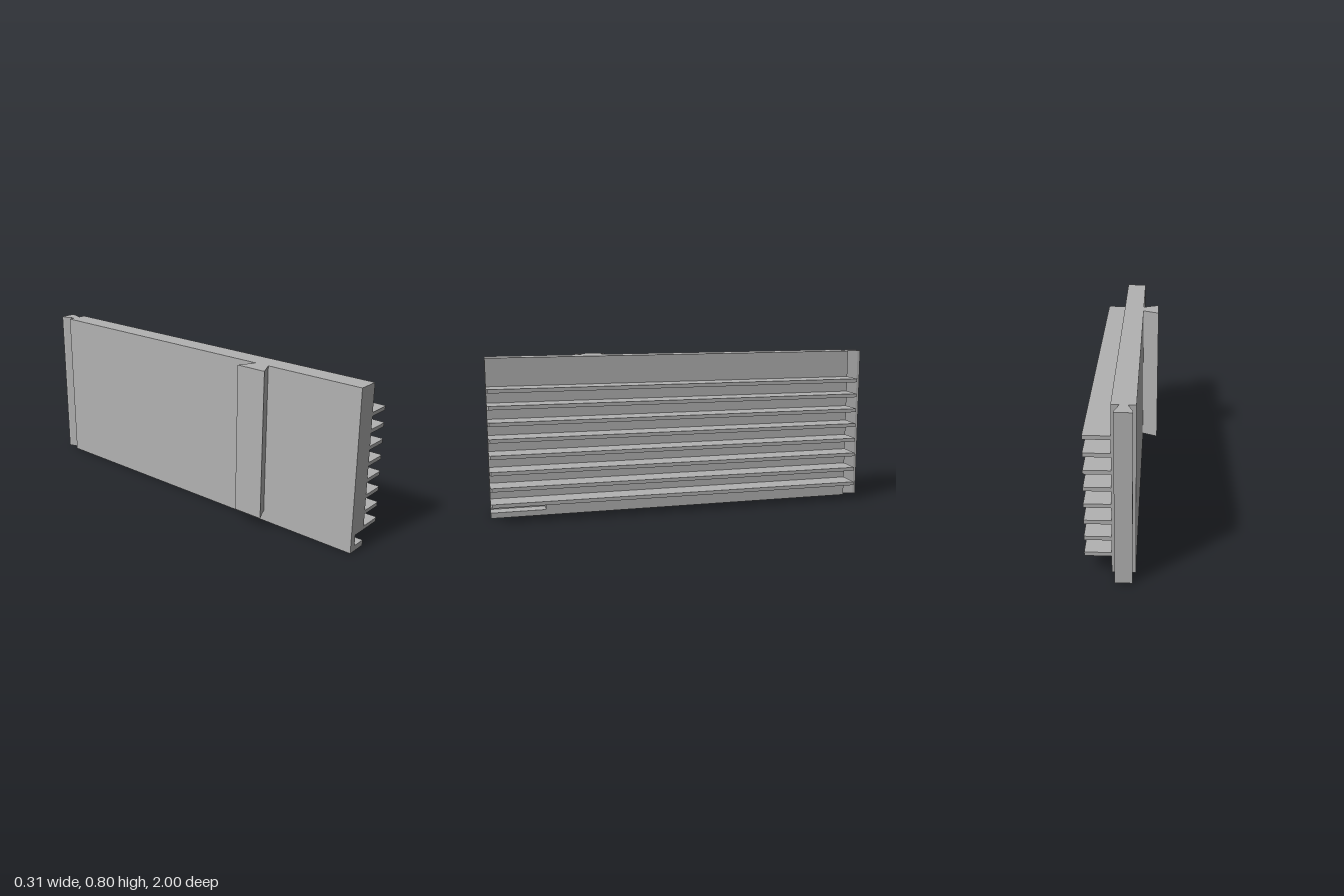
import * as THREE from 'three';

export function createModel() {
  const model = new THREE.Group();
  model.name = 'finnedPanel';
  const grey = new THREE.MeshStandardMaterial({ color: 0xb2b2b2 });
  grey.name = 'plain grey';

  const add = (name, geometry) => {
    const mesh = new THREE.Mesh(geometry, grey);
    mesh.name = name;
    model.add(mesh);
  };
  const outline = (points) => new THREE.Shape(points.map(([a, b]) => new THREE.Vector2(a, b)));

  // Prism from a plan outline of [x, z] points, between two heights
  const upright = (name, plan, y0, y1) => {
    const geometry = new THREE.ExtrudeGeometry(outline(plan.map(([x, z]) => [x, -z])),
      { depth: y1 - y0, bevelEnabled: false });
    add(name, geometry.rotateX(-Math.PI / 2).translate(0, y0, 0));
  };
  // Prism from a cross-section of [x, y] points, along z
  const lengthwise = (name, section, z0, z1) => {
    const geometry = new THREE.ExtrudeGeometry(outline(section), { depth: z1 - z0, bevelEnabled: false });
    add(name, geometry.translate(0, 0, z0));
  };

  const back = -0.072, face = 0.034, height = 0.803;
  const rear = -0.92, notchEnd = 0.725, front = 1;

  // Panel, with a notch low in its front end
  lengthwise('panel', [[back, 0], [face, 0], [face, height], [back, height]], rear, notchEnd);
  lengthwise('notchedPanelEnd', [
    [back, 0], [face, 0], [face, 0.028], [-0.038, 0.028],
    [-0.038, 0.083], [face, 0.083], [face, height], [back, height],
  ], notchEnd, front);

  // Evenly spaced fins, with the outer front corner eased
  for (let i = 0; i < 8; i++) {
    const y = 0.083 + i * 0.0803;
    upright('fin', [
      [face, rear], [0.154, rear], [0.154, 0.992], [0.146, front], [face, front],
    ], y, y + 0.0185);
  }

  // Dovetail rail on the rear end
  upright('endDovetail', [
    [-0.06, -1], [0.018, -1], [0.018, -0.985], [-0.002, rear], [-0.038, rear], [-0.06, -0.985],
  ], 0, height);

  // Dovetail rail on the plain side, stopping short of the bottom
  upright('sideDovetail', [
    [-0.155, 0.384], [back, 0.424], [back, 0.5], [-0.155, 0.54],
  ], 0.055, height);

  return model;
}
